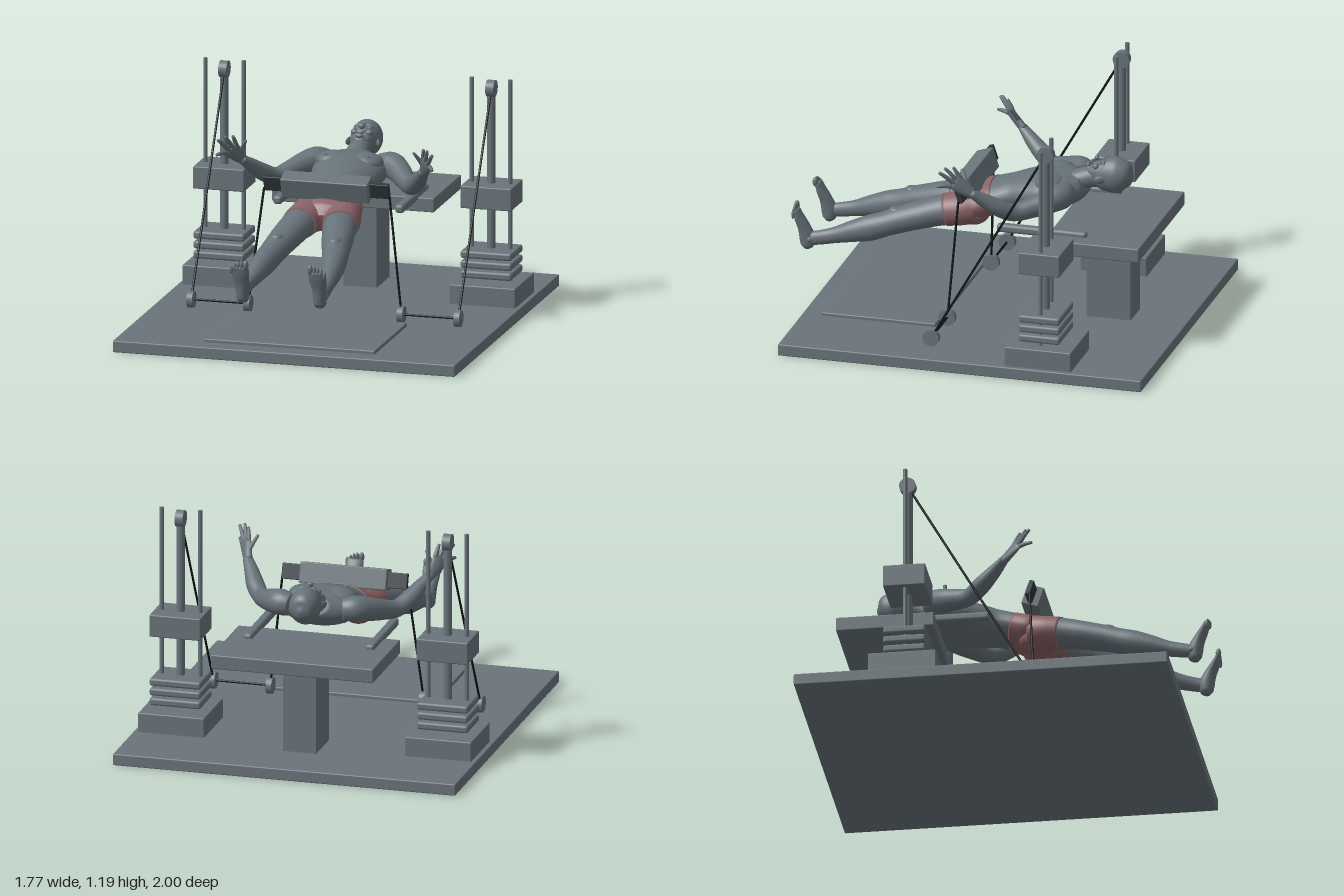
import * as THREE from 'three';
import { RoundedBoxGeometry } from 'three/addons/geometries/RoundedBoxGeometry.js';

const paint = (name, color) => {
  const m = new THREE.MeshStandardMaterial({ color });
  m.name = name;
  return m;
};
const V3 = (x, y, z) => new THREE.Vector3(x, y, z);

// Smooth elliptical loft; each point is [x, y, z, half width, half depth], t0..t1 picks a stretch
function loft(pts, up, t0 = 0, t1 = 1, grow = 0, rings = 40, sides = 28) {
  const path = new THREE.CatmullRomCurve3(pts.map(p => V3(p[0], p[1], p[2])));
  const size = new THREE.CatmullRomCurve3(pts.map(p => V3(p[3], p[4], 0)));
  const pos = [], idx = [];
  for (let i = 0; i <= rings; i++) {
    const t = t0 + (t1 - t0) * i / rings;
    const c = path.getPoint(t), r = size.getPoint(t), T = path.getTangent(t);
    const v = up.clone().addScaledVector(T, -up.dot(T)).normalize();
    const u = v.clone().cross(T);
    for (let j = 0; j < sides; j++) {
      const a = j / sides * Math.PI * 2;
      const p = c.clone().addScaledVector(u, Math.cos(a) * (r.x + grow)).addScaledVector(v, Math.sin(a) * (r.y + grow));
      pos.push(p.x, p.y, p.z);
      if (i < rings) {
        const k = i * sides + j, n = i * sides + (j + 1) % sides;
        idx.push(k, n, k + sides, n, n + sides, k + sides);
      }
    }
  }
  // End caps
  const first = path.getPoint(t0), last = path.getPoint(t1), n = pos.length / 3;
  pos.push(first.x, first.y, first.z, last.x, last.y, last.z);
  for (let j = 0; j < sides; j++) {
    const k = (j + 1) % sides, e = rings * sides;
    idx.push(n, k, j, n + 1, e + j, e + k);
  }
  const g = new THREE.BufferGeometry();
  g.setAttribute('position', new THREE.Float32BufferAttribute(pos, 3));
  g.setIndex(idx);
  g.computeVertexNormals();
  return g;
}

export function createModel() {
  const steel = paint('steel grey', 0x69747a);
  const skin = paint('body grey', 0x667178);
  const red = paint('shorts red', 0x8a6265);
  const dark = paint('dark bar', 0x30373a);
  const black = paint('cable black', 0x121516);

  const model = new THREE.Group();
  const machine = new THREE.Group(), person = new THREE.Group();
  machine.name = 'trainingMachine';
  person.name = 'recliningFigure';
  model.add(machine, person);

  const add = (parent, name, geo, mat) => {
    const m = new THREE.Mesh(geo, mat);
    m.name = name;
    parent.add(m);
    return m;
  };
  // Box given by its limits on each axis
  const box = (name, x0, x1, y0, y1, z0, z1, r = 0.006, mat = steel) => {
    const m = add(machine, name, new RoundedBoxGeometry(x1 - x0, y1 - y0, z1 - z0, 2, r), mat);
    m.position.set((x0 + x1) / 2, (y0 + y1) / 2, (z0 + z1) / 2);
    return m;
  };
  const rod = (name, a, b, r, mat, sides = 20) => {
    const d = b.clone().sub(a);
    const m = add(machine, name, new THREE.CylinderGeometry(r, r, d.length(), sides), mat);
    m.position.copy(a).add(b).multiplyScalar(0.5);
    m.quaternion.setFromUnitVectors(V3(0, 1, 0), d.normalize());
    return m;
  };
  const blob = (name, x, y, z, rx, ry, rz, mat = skin) => {
    const m = add(person, name, new THREE.SphereGeometry(1, 24, 16), mat);
    m.position.set(x, y, z);
    m.scale.set(rx, ry, rz);
    return m;
  };
  const Y = V3(0, 1, 0), Z = V3(0, 0, 1);

  // Platform, mat and bench
  box('platform', -0.887, 0.887, 0, 0.06, -1, 0.88);
  box('floorMat', -0.443, 0.443, 0.055, 0.078, 0.19, 0.78);
  box('benchPillar', -0.087, 0.087, 0.05, 0.51, -0.72, -0.49, 0.003);
  box('benchTop', -0.42, 0.42, 0.502, 0.575, -0.855, -0.362);

  // Hip pad and its cross bar, tilted together
  for (const m of [
    box('hipPad', -0.226, 0.226, 0.668, 0.776, 0.062, 0.152),
    box('crossBar', -0.325, 0.325, 0.682, 0.762, 0.092, 0.118, 0.004, dark),
  ]) m.rotation.x = 0.32;

  for (const s of [1, -1]) {
    const span = (name, a, b, ...rest) => box(name, Math.min(s * a, s * b), Math.max(s * a, s * b), ...rest);
    span('benchHandle', 0.293, 0.339, 0.557, 0.6, -0.56, -0.095, 0.015);

    // Weight stack with guide posts
    span('stackBase', 0.52, 0.863, 0.05, 0.16, -0.63, -0.287);
    for (const y of [0.18, 0.231, 0.282]) span('weightPlate', 0.56, 0.825, y, y + 0.039, -0.56, -0.347, 0.012);
    span('weightCarriage', 0.56, 0.825, 0.54, 0.655, -0.56, -0.347);
    for (const x of [0.591, 0.79]) rod('guidePost', V3(s * x, 0.15, -0.453), V3(s * x, 1.19, -0.453), 0.011, steel);
    rod('centrePost', V3(s * 0.692, 0.15, -0.453), V3(s * 0.692, 1.14, -0.453), 0.021, steel);

    // Pulleys and cable run
    const top = V3(s * 0.692, 1.14, -0.453), outer = V3(s * 0.692, 0.103, 0.14), inner = V3(s * 0.397, 0.103, 0.14);
    for (const [p, w] of [[top, 0.021], [outer, 0.015], [inner, 0.015]])
      rod('pulley', p.clone().add(V3(-w, 0, 0)), p.clone().add(V3(w, 0, 0)), 0.042, steel, 32);
    rod('stackCable', top, outer, 0.006, black, 8);
    rod('floorCable', outer, inner, 0.006, black, 8);
    rod('barCable', inner, V3(s * 0.325, 0.695, 0.105), 0.006, black, 8);
  }

  // Torso and shorts
  const torso = [
    [0, 0.748, -0.46, 0.072, 0.05], [0, 0.725, -0.42, 0.15, 0.075], [0, 0.71, -0.37, 0.19, 0.09],
    [0, 0.695, -0.28, 0.188, 0.102], [0, 0.675, -0.18, 0.163, 0.096], [0, 0.655, -0.09, 0.137, 0.085],
    [0, 0.63, -0.01, 0.149, 0.084], [0, 0.6, 0.07, 0.17, 0.087], [0, 0.575, 0.14, 0.15, 0.08],
    [0, 0.555, 0.19, 0.06, 0.045],
  ];
  add(person, 'torso', loft(torso, Y, 0, 0.68), skin);
  add(person, 'shortsSeat', loft(torso, Y, 0.66, 1, 0.003), red);
  blob('navel', 0, 0.718, -0.03, 0.009, 0.004, 0.011);

  // Neck and head, face upward
  add(person, 'neck', loft([[0, 0.725, -0.38, 0.075, 0.06], [0, 0.758, -0.45, 0.06, 0.056],
    [0, 0.775, -0.5, 0.056, 0.054], [0, 0.785, -0.57, 0.058, 0.06]], Y), skin);
  add(person, 'head', loft([
    [0, 0.83, -0.472, 0.018, 0.012], [0, 0.815, -0.49, 0.042, 0.035], [0, 0.803, -0.525, 0.06, 0.068],
    [0, 0.795, -0.57, 0.074, 0.088], [0, 0.795, -0.62, 0.08, 0.094], [0, 0.794, -0.665, 0.069, 0.078],
    [0, 0.79, -0.695, 0.043, 0.046], [0, 0.79, -0.708, 0.008, 0.008],
  ], Y), skin);
  blob('noseBridge', 0, 0.873, -0.545, 0.01, 0.013, 0.032);
  blob('noseTip', 0, 0.877, -0.523, 0.016, 0.014, 0.012);
  blob('upperLip', 0, 0.857, -0.502, 0.024, 0.009, 0.006);
  blob('lowerLip', 0, 0.853, -0.493, 0.02, 0.009, 0.006);
  blob('chin', 0, 0.838, -0.479, 0.022, 0.014, 0.013);

  for (const s of [1, -1]) {
    const mirror = pts => pts.map(([x, ...rest]) => [s * x, ...rest]);
    // Face and chest details
    blob('brow', s * 0.03, 0.869, -0.568, 0.024, 0.009, 0.008).rotation.z = -s * 0.3;
    blob('eye', s * 0.03, 0.86, -0.55, 0.014, 0.009, 0.007);
    blob('cheek', s * 0.038, 0.845, -0.527, 0.02, 0.016, 0.018);
    blob('ear', s * 0.076, 0.788, -0.557, 0.01, 0.02, 0.03).rotation.y = s * 0.3;
    blob('chestMuscle', s * 0.082, 0.753, -0.305, 0.092, 0.048, 0.082);
    blob('nipple', s * 0.11, 0.793, -0.255, 0.009, 0.005, 0.009);
    blob('shortsGlute', s * 0.072, 0.548, 0.1, 0.08, 0.062, 0.085, red);

    // Arm
    add(person, 'arm', loft(mirror([
      [0.13, 0.72, -0.405, 0.05, 0.055], [0.195, 0.725, -0.385, 0.066, 0.066], [0.25, 0.71, -0.33, 0.059, 0.06],
      [0.3, 0.69, -0.26, 0.051, 0.052], [0.35, 0.678, -0.19, 0.043, 0.045], [0.395, 0.71, -0.13, 0.046, 0.044],
      [0.44, 0.765, -0.055, 0.036, 0.034], [0.475, 0.81, 0, 0.025, 0.02],
    ]), Y), skin);

    // Open hand with spread fingers
    const palmUp = V3(s * 0.7, 0.34, -0.63);
    add(person, 'palm', loft(mirror([
      [0.468, 0.8, -0.012, 0.026, 0.021], [0.488, 0.835, 0.03, 0.036, 0.018],
      [0.505, 0.868, 0.066, 0.043, 0.014], [0.51, 0.877, 0.075, 0.036, 0.009],
    ]), palmUp, 0, 1, 0, 14, 18), skin);
    const digits = [
      [0.475, 0.84, 0.015, 0.435, 0.915, 0.055], [0.483, 0.881, 0.05, 0.494, 0.942, 0.083],
      [0.498, 0.874, 0.062, 0.524, 0.945, 0.118], [0.513, 0.865, 0.073, 0.555, 0.93, 0.138],
      [0.527, 0.855, 0.084, 0.558, 0.857, 0.15],
    ];
    for (const [a, b, c, d, e, f] of digits)
      add(person, 'finger', loft(mirror([
        [a, b, c, 0.013, 0.012], [(a + d) / 2, (b + e) / 2 + 0.003, (c + f) / 2, 0.011, 0.01],
        [d, e, f, 0.008, 0.007],
      ]), palmUp, 0, 1, 0, 8, 10), skin);

    // Leg, with the upper stretch covered by the shorts
    const leg = mirror([
      [0.085, 0.585, 0.08, 0.08, 0.08], [0.095, 0.57, 0.16, 0.091, 0.081], [0.108, 0.556, 0.25, 0.085, 0.077],
      [0.13, 0.527, 0.36, 0.08, 0.071], [0.15, 0.497, 0.46, 0.071, 0.067], [0.164, 0.473, 0.53, 0.065, 0.064],
      [0.176, 0.45, 0.6, 0.061, 0.066], [0.187, 0.425, 0.69, 0.05, 0.055], [0.197, 0.396, 0.79, 0.035, 0.04],
      [0.204, 0.376, 0.88, 0.028, 0.036], [0.203, 0.368, 0.93, 0.027, 0.034],
    ]);
    add(person, 'leg', loft(leg, Y, 0.15, 1, 0, 60), skin);
    add(person, 'shortsLeg', loft(leg, Y, 0, 0.185, 0.004, 14), red);
    blob('kneecap', s * 0.15, 0.545, 0.475, 0.035, 0.022, 0.04);
    blob('ankleBone', s * 0.228, 0.372, 0.905, 0.01, 0.014, 0.014);

    // Foot, sole forward and toes up
    add(person, 'foot', loft(mirror([
      [0.2, 0.318, 0.925, 0.018, 0.016], [0.2, 0.335, 0.922, 0.031, 0.034], [0.2, 0.375, 0.922, 0.035, 0.04],
      [0.2, 0.425, 0.938, 0.038, 0.032], [0.2, 0.48, 0.965, 0.046, 0.021], [0.199, 0.517, 0.98, 0.044, 0.013],
    ]), Z, 0, 1, 0, 24, 20), skin);
    for (let i = 0; i < 5; i++) {
      const r = i ? 0.0095 - i * 0.0003 : 0.014;
      blob('toe', s * (0.167 + i * 0.0175 + (i ? 0.004 : 0)), 0.527 - i * i * 0.0016, 0.985, r, 0.025 - i * 0.001, r);
    }
  }
  return model;
}
